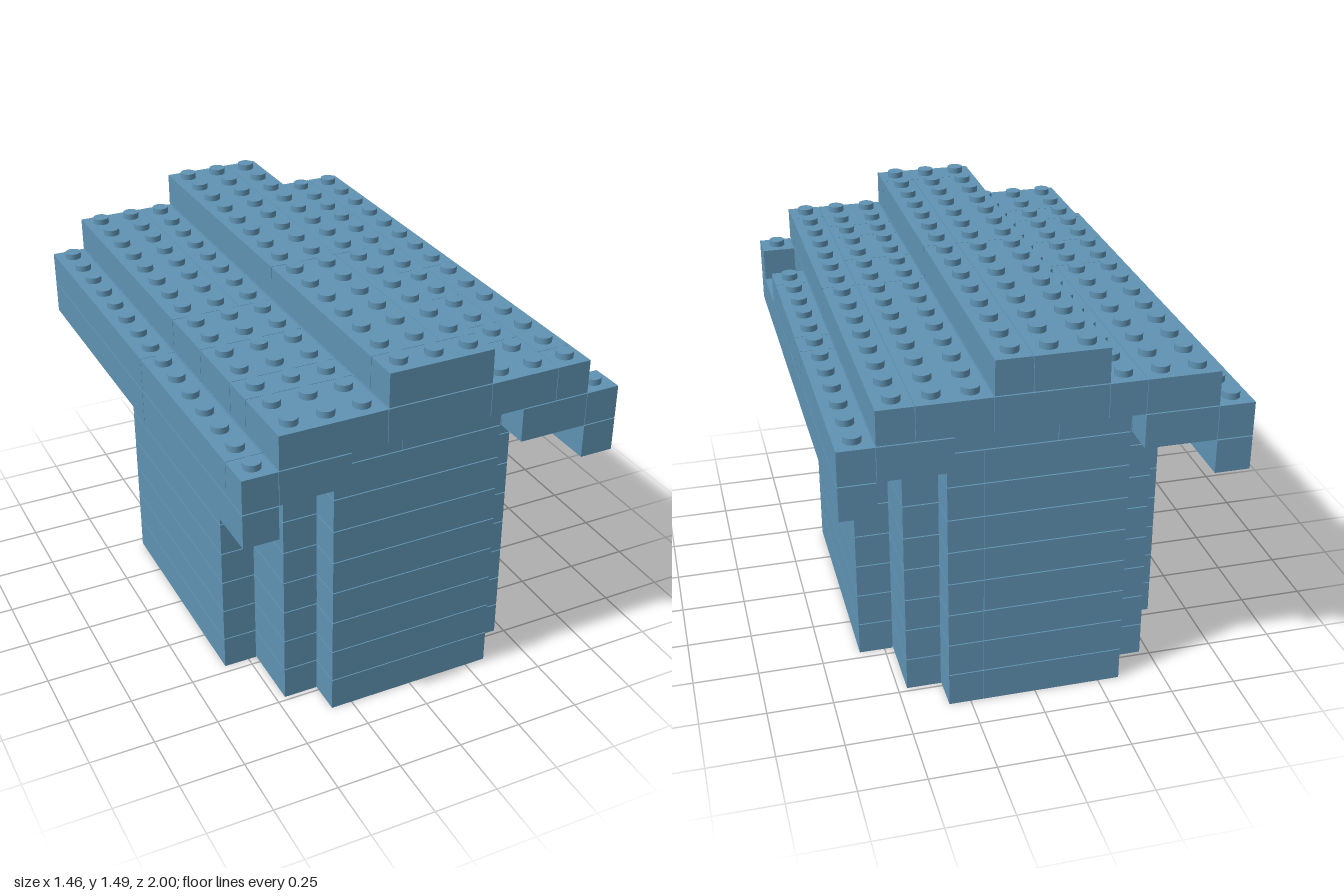
import * as THREE from 'three';

const U = 2 / 15;      // one stud pitch, also one brick height
const GAP = 0.002;     // clearance on each side of a brick

export function createModel() {
  const model = new THREE.Group();
  model.name = 'brickHouse';
  const blue = new THREE.MeshStandardMaterial({ color: 0x5f93b3 });
  blue.name = 'dustyBlue';

  const group = (name) => {
    const g = new THREE.Group();
    g.name = name;
    model.add(g);
    return g;
  };

  // One brick; x and z limits in studs, layer counted from the ground
  const brick = (parent, name, layer, [x0, x1, z0, z1]) => {
    const geo = new THREE.BoxGeometry((x1 - x0) * U - GAP, U - 2 * GAP, (z1 - z0) * U - GAP);
    const mesh = new THREE.Mesh(geo, blue);
    mesh.name = name;
    mesh.position.set(((x0 + x1) / 2) * U, (layer + 0.5) * U, ((z0 + z1) / 2) * U);
    parent.add(mesh);
  };

  const studGeo = new THREE.CylinderGeometry(0.032, 0.032, 0.024, 20);
  const stud = (parent, x, z, level) => {
    const mesh = new THREE.Mesh(studGeo, blue);
    mesh.name = 'stud';
    mesh.position.set(x * U, level * U + 0.01, z * U);
    parent.add(mesh);
  };

  // Tower with stepped corners, eight layers high
  const tower = group('tower');
  const towerPlan = [
    [-4.5, -3.5, -3.5, 3.5],
    [-3.5, -2.5, -5.5, 5.5],
    [-2.5, 1.5, -6.5, 5.5],
    [1.5, 2.5, -6.5, 5.5],
    [-2.5, 2.5, 5.5, 6.5],
    [2.5, 3.5, -5.5, 5.5],
    [3.5, 4.5, -3.5, 2.5],
    [3.5, 4.5, 2.5, 3.5],
  ];
  for (let layer = 0; layer < 8; layer++) {
    for (const b of towerPlan) brick(tower, 'towerBrick', layer, b);
  }

  // Eave beams along both sides
  const eaves = group('eaves');
  for (const x of [-5.5, 4.5]) {
    brick(eaves, 'eaveBeam', 7, [x, x + 1, -7.5, 0.5]);
    brick(eaves, 'eaveBeam', 7, [x, x + 1, 0.5, 7.5]);
  }
  // Upper eave row; the left one has an opening near the front
  const upperEaves = [
    [-5.5, -4.5, -7.5, 0.5], [-5.5, -4.5, 0.5, 6.5], [-5.5, -4.5, 6.5, 7.5],
    [4.5, 5.5, -7.5, -1.5], [4.5, 5.5, -1.5, -0.5], [4.5, 5.5, -0.5, 3.5],
    [4.5, 5.5, 3.5, 4.5], [4.5, 5.5, 6.5, 7.5],
  ];
  for (const b of upperEaves) brick(eaves, 'upperEaveBrick', 8, b);

  // Ceiling layer with corner blocks under the gable ends
  const ceiling = group('ceiling');
  const stripEdges = [-4.5, -2.5, -0.5, 2.5, 4.5];
  for (let i = 0; i < 4; i++) {
    brick(ceiling, 'ceilingBrick', 8, [stripEdges[i], stripEdges[i + 1], -6.5, 6.5]);
  }
  for (const x of [-4.5, 2.5]) {
    for (const z of [-7.5, 6.5]) brick(ceiling, 'cornerBlock', 8, [x, x + 2, z, z + 1]);
  }

  // Middle roof layer
  const roof = group('roof');
  const roofPlan = [
    [-1.5, 1.5, -7.5, 7.5],
    [-4.5, -2.5, -7.5, 0.5], [-2.5, -1.5, -7.5, 0.5],
    [-4.5, -1.5, 0.5, 2.5], [-4.5, -1.5, 2.5, 4.5],
    [-4.5, -1.5, 4.5, 5.5], [-4.5, -1.5, 5.5, 7.5],
    [1.5, 3.5, -7.5, 0.5], [3.5, 4.5, -7.5, 0.5],
    [1.5, 3.5, 0.5, 2.5], [1.5, 3.5, 2.5, 4.5],
    [1.5, 3.5, 4.5, 5.5], [1.5, 3.5, 5.5, 7.5],
    [3.5, 4.5, 0.5, 6.5], [3.5, 4.5, 6.5, 7.5],
  ];
  for (const b of roofPlan) brick(roof, 'roofBrick', 9, b);

  // Ridge
  const ridge = group('ridge');
  const ridgePlan = [
    [-1.5, 0.5, -7.5, 0.5], [0.5, 1.5, -7.5, 0.5],
    [-1.5, 0.5, 0.5, 6.5], [0.5, 1.5, 0.5, 6.5],
    [-1.5, 1.5, 6.5, 7.5],
  ];
  for (const b of ridgePlan) brick(ridge, 'ridgeBrick', 10, b);

  // Studs on every exposed top, lower inside the eave opening
  const studs = group('studs');
  for (let x = -5; x <= 5; x++) {
    const level = Math.abs(x) <= 1 ? 11 : Math.abs(x) <= 4 ? 10 : 9;
    for (let z = -7; z <= 7; z++) {
      const inOpening = x === 5 && (z === 5 || z === 6);
      stud(studs, x, z, inOpening ? 8 : level);
    }
  }
  return model;
}
